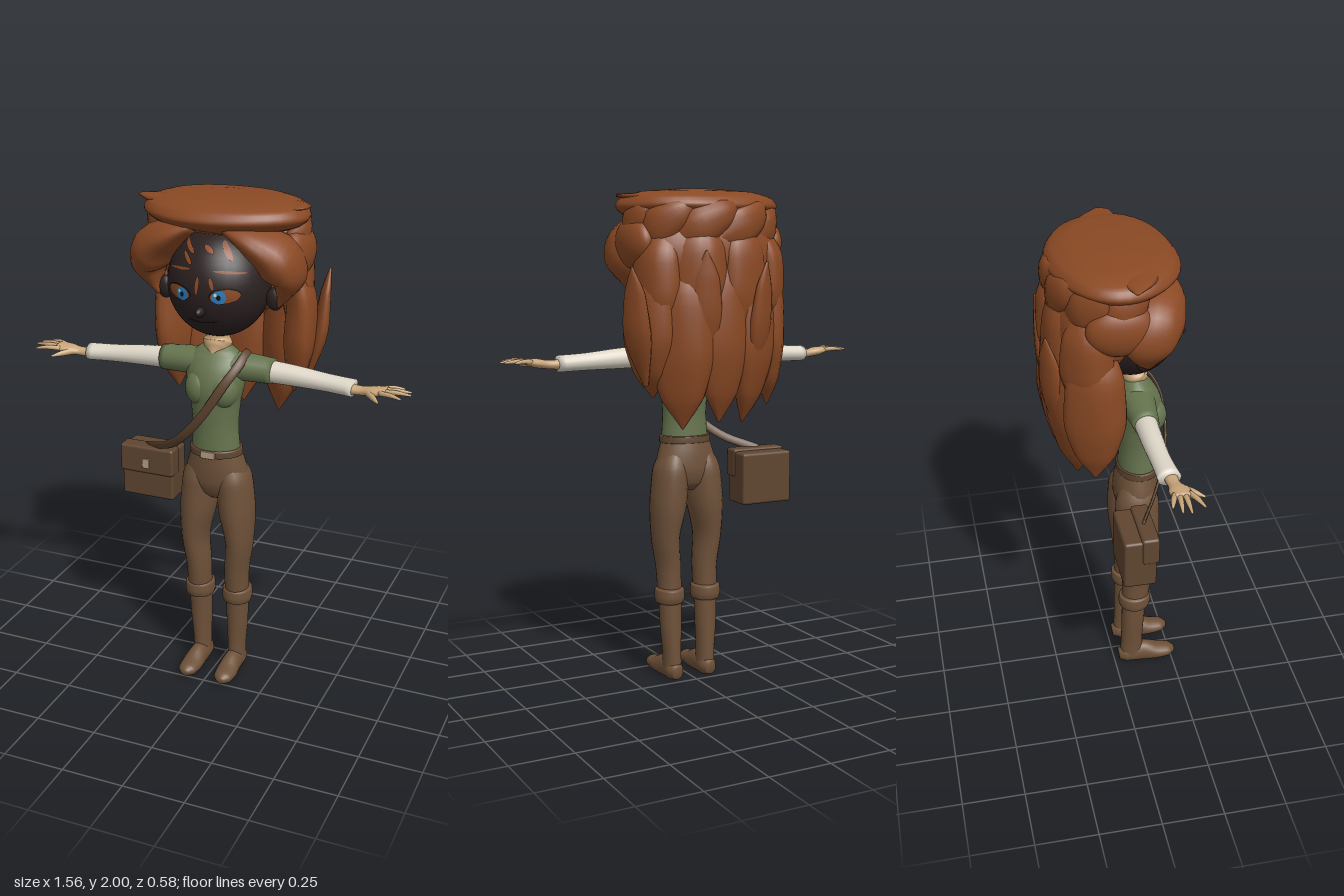
import * as THREE from 'three';
import { RoundedBoxGeometry } from 'three/addons/geometries/RoundedBoxGeometry.js';

const mat = (name, color) => {
  const m = new THREE.MeshStandardMaterial({ color });
  m.name = name;
  return m;
};

export function createModel() {
  const model = new THREE.Group();
  const face = mat('dark face', 0x2b2020), hair = mat('auburn hair', 0x8a4924);
  const skin = mat('tan skin', 0xc9a67a), shirt = mat('green shirt', 0x66744e);
  const sleeve = mat('cream sleeve', 0xdcd5c6), trousers = mat('brown trousers', 0x6e5139);
  const leather = mat('dark leather', 0x5f4530), blue = mat('blue iris', 0x2a7cbc);
  const metal = mat('pale buckle', 0xb59c80), ink = mat('black line', 0x120d0d);

  const add = (name, material, geo, x = 0, y = 0, z = 0) => {
    const m = new THREE.Mesh(geo, material);
    m.name = name;
    m.position.set(x, y, z);
    model.add(m);
  };

  // Elliptical sections [x, y, z, halfWidth, halfThickness] swept along a smooth path.
  // "side" is the direction of the width; "ridge" adds shallow grooves.
  function sweep(name, material, pts, side = [1, 0, 0], ridge = 0, seg = 20, sub = 5) {
    const path = new THREE.CatmullRomCurve3(pts.map(p => new THREE.Vector3(p[0], p[1], p[2])));
    const size = new THREE.CatmullRomCurve3(pts.map(p => new THREE.Vector3(p[3], p[4], 0)));
    const n = (pts.length - 1) * sub, pos = [], idx = [];
    for (let i = 0; i <= n; i++) {
      const c = path.getPoint(i / n), r = size.getPoint(i / n), t = path.getTangent(i / n);
      const s = new THREE.Vector3(...side);
      s.addScaledVector(t, -s.dot(t)).normalize();
      const b = t.clone().cross(s);
      for (let j = 0; j < seg; j++) {
        const a = j / seg * Math.PI * 2, k = 1 + ridge * Math.cos(a * 4 + i * 0.15);
        const p = c.clone().addScaledVector(s, Math.cos(a) * Math.max(r.x, 0.001) * k)
          .addScaledVector(b, Math.sin(a) * Math.max(r.y, 0.001) * k);
        pos.push(p.x, Math.max(p.y, 0), p.z);
        const j2 = (j + 1) % seg, o = i * seg;
        if (i < n) idx.push(o + j, o + j2, o + seg + j2, o + j, o + seg + j2, o + seg + j);
      }
    }
    // End caps
    const first = pos.length / 3, last = n * seg;
    pos.push(...path.getPoint(0).toArray(), ...path.getPoint(1).toArray());
    for (let j = 0; j < seg; j++) {
      const j2 = (j + 1) % seg;
      idx.push(first, j2, j, first + 1, last + j, last + j2);
    }
    const g = new THREE.BufferGeometry();
    g.setAttribute('position', new THREE.Float32BufferAttribute(pos, 3));
    g.setIndex(idx);
    g.computeVertexNormals();
    add(name, material, g);
  }

  const ball = (name, material, x, y, z, rx, ry, rz) =>
    add(name, material, new THREE.SphereGeometry(1, 36, 24).scale(rx, ry, rz), x, y, z);

  // Head and nose
  const H = { y: 1.67, z: 0.07, rx: 0.2, ry: 0.21, rz: 0.19 };
  ball('head', face, 0, H.y, H.z, H.rx, H.ry, H.rz);
  ball('nose', face, 0, 1.6, 0.25, 0.017, 0.02, 0.038);

  // Oval patches laid on the face surface
  function patch(name, material, x, y, rx, ry, turn = 0, lift = 0.003) {
    const g = new THREE.RingGeometry(0, 1, 24, 4).scale(rx, ry, 1).rotateZ(turn).translate(x, y, 0);
    const p = g.attributes.position;
    for (let i = 0; i < p.count; i++) {
      const u = p.getX(i) / H.rx, v = (p.getY(i) - H.y) / H.ry;
      p.setZ(i, H.z + H.rz * Math.sqrt(Math.max(0, 1 - u * u - v * v)) + lift);
    }
    g.computeVertexNormals();
    add(name, material, g);
  }
  for (const s of [-1, 1]) {
    ball('ear', face, s * 0.225, 1.625, 0.07, 0.035, 0.045, 0.025);
    patch('eyelid', ink, s * 0.09, 1.666, 0.055, 0.03, s * 0.1);
    patch('eye', hair, s * 0.092, 1.664, 0.051, 0.026, s * 0.1, 0.005);
    patch('iris', blue, s * 0.073, 1.661, 0.026, 0.026, 0, 0.007);
    patch('pupil', ink, s * 0.073, 1.661, 0.008, 0.01, 0, 0.008);
    patch('eyeGlint', sleeve, s * 0.073 - 0.011, 1.671, 0.006, 0.006, 0, 0.009);
    patch('eyebrow', hair, s * 0.1, 1.75, 0.055, 0.005, s * -0.1);
    patch('mouthCorner', ink, s * 0.03, 1.556, 0.032, 0.003, s * 0.15);
  }
  // Loose strands across the forehead
  for (const [x, y, l, a] of [[-0.07, 1.825, 0.035, -0.5], [-0.065, 1.79, 0.03, -0.7], [0.015, 1.825, 0.025, -0.5],
    [0.08, 1.82, 0.04, -0.9], [-0.01, 1.7, 0.035, 1.5], [0.045, 1.71, 0.025, 1.9]])
    patch('foreheadStrand', hair, x, y, l, 0.009, a, 0.006);

  // Hair: back mass and the broad flat crown
  ball('hairBack', hair, 0, 1.73, -0.09, 0.31, 0.22, 0.16);
  sweep('hairCrown', hair, [[0, 1.865, 0, 0.22, 0.14], [0, 1.897, 0, 0.3, 0.21], [0, 1.93, 0, 0.33, 0.243],
    [0, 1.963, 0, 0.312, 0.222], [0, 1.986, 0, 0.24, 0.165], [0, 1.997, 0, 0.1, 0.07]], [1, 0, 0], 0.015, 40);
  // Broad overlapping swirls below the back of the crown
  for (let i = 0; i < 6; i++) {
    const a = Math.PI * (0.95 + i * 0.2), q = (d, y, k, w, t) =>
      [Math.cos(a + d) * 0.29 * k, y, Math.sin(a + d) * 0.21 * k - 0.02, w, t];
    sweep('hairSwirl', hair, [q(-0.4, 1.94, 0.95, 0.01, 0.008), q(-0.15, 1.9, 1, 0.055, 0.03),
      q(0.2, 1.85, 1, 0.075, 0.035), q(0.65, 1.79, 0.98, 0.006, 0.006)], [0, 1, 0], 0, 12);
  }
  // Ragged tufts lying on the crown's edge
  sweep('crownTuft', hair, [[-0.35, 1.965, 0.02, 0.008, 0.005], [-0.27, 1.965, 0.04, 0.06, 0.016],
    [-0.12, 1.97, 0.08, 0.09, 0.018], [0.02, 1.96, 0.12, 0.02, 0.01]], [0, 0, 1], 0, 12);
  sweep('crownTuft', hair, [[0.33, 1.97, 0.03, 0.03, 0.006], [0.24, 1.962, 0, 0.09, 0.018],
    [0.1, 1.972, -0.04, 0.1, 0.018], [0, 1.97, -0.06, 0.02, 0.01]], [0, 0, 1], 0, 12);

  // Swept bangs framing the face
  for (const s of [-1, 1]) {
    sweep('bang', hair, [[s * 0.06, 1.9, 0.16, 0.04, 0.02], [s * 0.16, 1.855, 0.14, 0.095, 0.055],
      [s * 0.245, 1.79, 0.1, 0.115, 0.085], [s * 0.28, 1.72, 0.08, 0.1, 0.068],
      [s * 0.265, 1.65, 0.08, 0.05, 0.03], [s * 0.245, 1.6, 0.09, 0.005, 0.005]], [0, 0, 1], 0.03);
    ball('templeCurl', hair, s * 0.28, 1.79, -0.02, 0.06, 0.1, 0.13);
  }

  // Long pointed locks: [angle from the back, top y, tip y, half width, tip radius scale]
  const locks = [[-1.22, 1.74, 1.15, 0.115, 0.98], [-0.6, 1.76, 1.09, 0.11, 0.75], [0, 1.78, 1.1, 0.11, 0.8],
    [0.62, 1.76, 1.08, 0.125, 0.95], [1.25, 1.74, 1.2, 0.12, 0.92],
    [-1.05, 1.85, 1.42, 0.1, 1], [-0.36, 1.88, 1.4, 0.11, 1], [0.36, 1.88, 1.44, 0.11, 1], [1.05, 1.85, 1.4, 0.1, 1]];
  for (const [a, top, tip, w, k] of locks) {
    const q = (f, r, ww, t) => [Math.sin(a) * 0.28 * r, top + (tip - top) * f, -Math.cos(a) * 0.155 * r - 0.06, ww, t];
    sweep('hairLock', hair, [q(0, 0.85, w * 0.4, 0.02), q(0.25, 1, w * 0.9, 0.055), q(0.55, 1, w, 0.064),
      q(0.82, (1 + k) / 2, w * 0.68, 0.045), q(1, k, 0.004, 0.004)], [Math.cos(a), 0, Math.sin(a)], 0.05);
  }
  // Flicked-up tips
  for (const [x, y, z] of [[0.362, 1.7, -0.17], [-0.16, 1.72, -0.275], [0.1, 1.76, -0.27]])
    sweep('hairFlick', hair, [[x, y, z, 0.004, 0.004], [x * 0.96, y - 0.1, z * 0.96, 0.05, 0.02],
      [x * 0.92, y - 0.25, z * 0.9, 0.065, 0.03], [x * 0.8, y - 0.45, z * 0.8, 0.01, 0.01]], [-z, 0, x], 0, 12);

  // Neck narrowing into the V of the collar
  sweep('neck', skin, [[0, 1.385, 0.14, 0.008, 0.012], [0, 1.412, 0.108, 0.045, 0.045], [0, 1.438, 0.09, 0.058, 0.05],
    [0, 1.46, 0.086, 0.046, 0.045], [0, 1.51, 0.085, 0.045, 0.045]]);

  // Shirt
  sweep('shirtBody', shirt, [[0, 0.995, 0.108, 0.1, 0.08], [0, 1.1, 0.11, 0.092, 0.08], [0, 1.2, 0.11, 0.1, 0.088],
    [0, 1.27, 0.11, 0.115, 0.096], [0, 1.33, 0.1, 0.122, 0.088], [0, 1.38, 0.092, 0.112, 0.068],
    [0, 1.41, 0.09, 0.08, 0.05], [0, 1.43, 0.09, 0.05, 0.03]], [1, 0, 0], 0, 28);
  for (const s of [-1, 1]) {
    ball('chest', shirt, s * 0.048, 1.265, 0.146, 0.06, 0.075, 0.063);
    // Arms
    sweep('shirtSleeve', shirt, [[s * 0.05, 1.35, 0.09, 0.07, 0.055], [s * 0.13, 1.348, 0.088, 0.062, 0.054],
      [s * 0.23, 1.344, 0.088, 0.05, 0.05]], [0, 0, 1]);
    sweep('longSleeve', sleeve, [[s * 0.2, 1.343, 0.088, 0.045, 0.044], [s * 0.32, 1.338, 0.088, 0.042, 0.04],
      [s * 0.45, 1.331, 0.093, 0.039, 0.034], [s * 0.553, 1.327, 0.1, 0.044, 0.033]], [0, 0, 1]);
    // Hands
    sweep('palm', skin, [[s * 0.54, 1.324, 0.105, 0.026, 0.02], [s * 0.59, 1.325, 0.108, 0.024, 0.017],
      [s * 0.64, 1.332, 0.115, 0.04, 0.018], [s * 0.685, 1.34, 0.117, 0.037, 0.012]], [0, 0, 1], 0, 14);
    for (const [z0, x1, z1] of [[0.09, 0.74, 0.066], [0.108, 0.773, 0.095], [0.127, 0.78, 0.126], [0.145, 0.755, 0.18]])
      sweep('finger', skin, [[s * 0.665, 1.338, z0, 0.011, 0.01], [s * (0.665 + x1) / 2, 1.342, (z0 + z1) / 2, 0.01, 0.009],
        [s * x1, 1.338, z1, 0.004, 0.004]], [0, 0, 1], 0, 8, 3);
    sweep('thumb', skin, [[s * 0.61, 1.328, 0.125, 0.014, 0.012], [s * 0.645, 1.325, 0.165, 0.012, 0.011],
      [s * 0.675, 1.32, 0.2, 0.004, 0.004]], [0, 1, 0], 0, 8, 3);

    // Legs, cuffs and boots
    sweep('trouserLeg', trousers, [[s * 0.055, 0.96, 0.1, 0.04, 0.06], [s * 0.072, 0.87, 0.093, 0.071, 0.089],
      [s * 0.083, 0.75, 0.092, 0.073, 0.092], [s * 0.096, 0.6, 0.095, 0.055, 0.079],
      [s * 0.084, 0.47, 0.093, 0.05, 0.063], [s * 0.082, 0.34, 0.085, 0.048, 0.054]]);
    sweep('bootCuff', trousers, [[s * 0.083, 0.385, 0.084, 0.048, 0.054], [s * 0.083, 0.378, 0.084, 0.06, 0.066],
      [s * 0.083, 0.35, 0.084, 0.062, 0.068], [s * 0.083, 0.325, 0.084, 0.058, 0.062],
      [s * 0.083, 0.318, 0.084, 0.044, 0.05]]);
    sweep('bootShaft', trousers, [[s * 0.082, 0.34, 0.083, 0.047, 0.052], [s * 0.081, 0.22, 0.078, 0.044, 0.048],
      [s * 0.078, 0.1, 0.075, 0.037, 0.047], [s * 0.077, 0.03, 0.075, 0.037, 0.05]]);
    sweep('bootFoot', trousers, [[s * 0.077, 0.03, 0.018, 0.022, 0.026], [s * 0.077, 0.034, 0.05, 0.037, 0.042],
      [s * 0.077, 0.036, 0.12, 0.038, 0.052], [s * 0.079, 0.028, 0.19, 0.044, 0.034],
      [s * 0.08, 0.026, 0.24, 0.038, 0.026], [s * 0.08, 0.024, 0.266, 0.014, 0.012]]);
  }

  // Hips and belt
  sweep('hips', trousers, [[0, 1.0, 0.106, 0.101, 0.082], [0, 0.93, 0.099, 0.124, 0.088], [0, 0.87, 0.094, 0.137, 0.086],
    [0, 0.82, 0.092, 0.11, 0.07], [0, 0.79, 0.092, 0.05, 0.04]], [1, 0, 0], 0, 28);
  sweep('belt', leather, [[0, 0.985, 0.106, 0.104, 0.08], [0, 0.988, 0.106, 0.109, 0.087], [0, 1.012, 0.107, 0.107, 0.086],
    [0, 1.016, 0.107, 0.1, 0.08]], [1, 0, 0], 0, 28);
  add('beltBuckle', metal, new RoundedBoxGeometry(0.06, 0.03, 0.01, 2, 0.003), 0, 1, 0.195);

  // Shoulder bag
  add('bagBody', leather, new RoundedBoxGeometry(0.228, 0.215, 0.13, 3, 0.012), -0.313, 0.828, 0.03);
  add('bagFlap', leather, new RoundedBoxGeometry(0.236, 0.118, 0.07, 3, 0.012), -0.313, 0.887, 0.07);
  add('bagClasp', metal, new RoundedBoxGeometry(0.032, 0.042, 0.01, 2, 0.003), -0.313, 0.875, 0.107);
  // Strap crossing the chest to the left shoulder
  sweep('bagStrap', leather, [[-0.32, 0.94, 0.06, 0.018, 0.006], [-0.19, 0.995, 0.14, 0.018, 0.006],
    [-0.09, 1.08, 0.195, 0.018, 0.006], [0, 1.19, 0.217, 0.018, 0.006], [0.07, 1.3, 0.207, 0.018, 0.006],
    [0.115, 1.375, 0.155, 0.018, 0.006], [0.125, 1.407, 0.09, 0.018, 0.006], [0.12, 1.37, 0.03, 0.018, 0.006]],
  [0.7, -0.7, 0], 0, 10, 5);

  return model;
}
